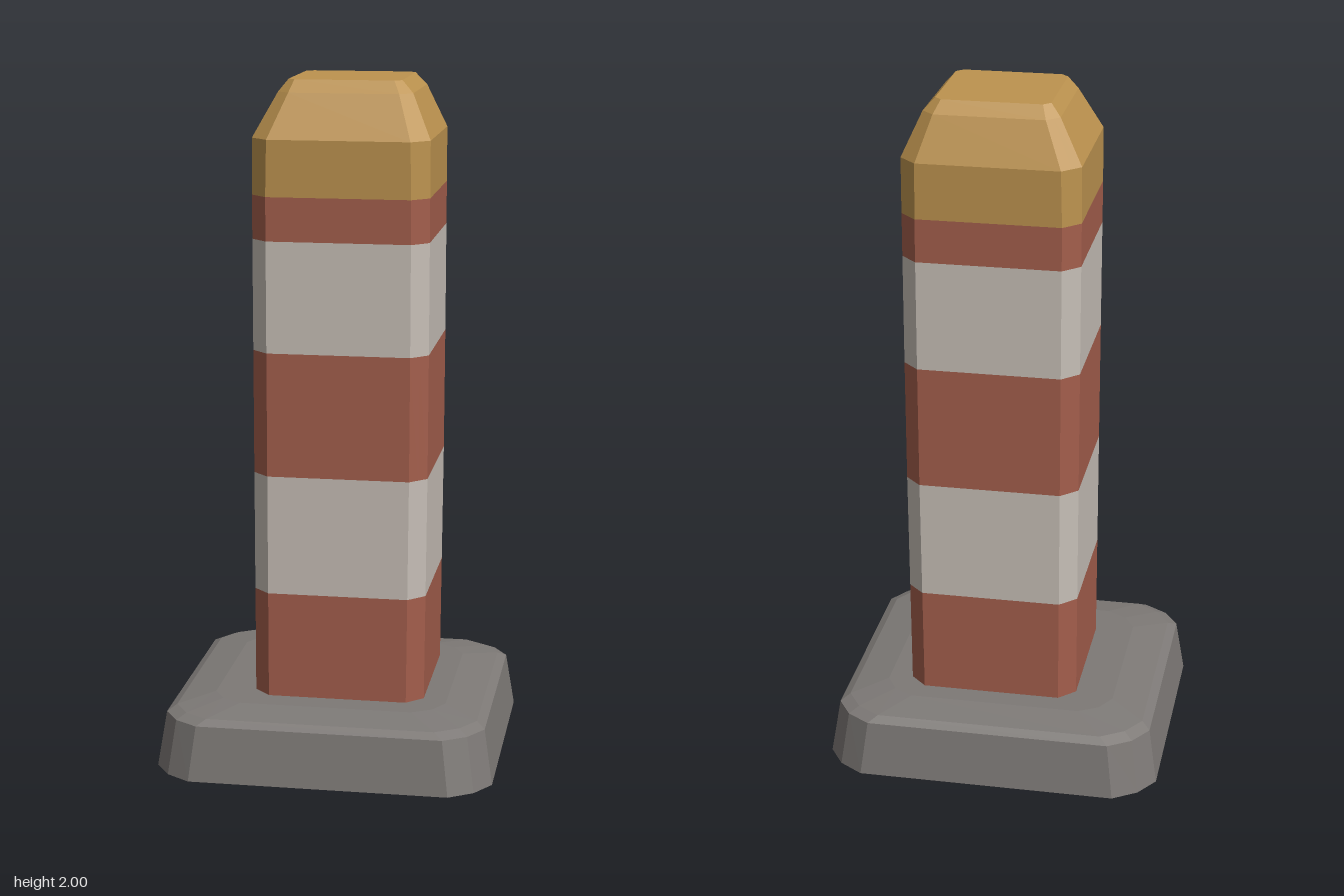
import * as THREE from 'three';

// Rectangle with bevelled corners, listed from +x towards +z; bulge rounds each corner outwards
function ring(y, x0, x1, z0, z1, c, bulge = 0) {
  const b = c / 2 - bulge;
  const pts = [
    [x1, z1 - c], [x1 - b, z1 - b], [x1 - c, z1],
    [x0 + c, z1], [x0 + b, z1 - b], [x0, z1 - c],
    [x0, z0 + c], [x0 + b, z0 + b], [x0 + c, z0],
    [x1 - c, z0], [x1 - b, z0 + b], [x1, z0 + c],
  ];
  return pts.map(([x, z]) => new THREE.Vector3(x, y, z));
}

// Faceted skin through a stack of rings, with optional end caps
function loft(name, rings, material, { top = false, bottom = false } = {}) {
  const v = [];
  const tri = (...ps) => ps.forEach((p) => v.push(p.x, p.y, p.z));
  const n = rings[0].length;
  for (let k = 0; k < rings.length - 1; k++) {
    const lo = rings[k], hi = rings[k + 1];
    for (let i = 0; i < n; i++) {
      const j = (i + 1) % n;
      tri(lo[i], hi[i], hi[j]);
      tri(lo[i], hi[j], lo[j]);
    }
  }
  const cap = (r, up) => {
    const c = r.reduce((s, p) => s.add(p), new THREE.Vector3()).divideScalar(n);
    for (let i = 0; i < n; i++) {
      const j = (i + 1) % n;
      if (up) tri(c, r[j], r[i]);
      else tri(c, r[i], r[j]);
    }
  };
  if (top) cap(rings[rings.length - 1], true);
  if (bottom) cap(rings[0], false);
  const g = new THREE.BufferGeometry();
  g.setAttribute('position', new THREE.Float32BufferAttribute(v, 3));
  g.computeVertexNormals();
  const mesh = new THREE.Mesh(g, material);
  mesh.name = name;
  return mesh;
}

function createModel() {
  const mat = (name, color) => {
    const m = new THREE.MeshStandardMaterial({ color });
    m.name = name;
    return m;
  };
  const red = mat('brickRed', 0xa35e4c);
  const white = mat('warmWhite', 0xc6beb6);
  const yellow = mat('ochre', 0xbd934f);
  const grey = mat('rubberGrey', 0x7d7976);
  const black = mat('undersideBlack', 0x151515);

  const model = new THREE.Group();
  model.name = 'trafficBollard';

  // Weighted foot: flared sides, bevelled rim, gently sloping top
  const foot = (y, hx, hz, c) => ring(y, -hx, hx, -hz, hz, c, 0.012);
  model.add(loft('foot', [
    foot(0.02, 0.49, 0.463, 0.115),
    foot(0.18, 0.465, 0.44, 0.11),
    foot(0.195, 0.44, 0.415, 0.11),
    foot(0.213, 0.34, 0.315, 0.09),
  ], grey, { top: true }));

  // Hollow underside: grey rim and inner wall, black recess and centre pad
  model.add(loft('footRim', [
    foot(0.07, 0.43, 0.405, 0.11),
    foot(0.02, 0.455, 0.43, 0.115),
    foot(0.02, 0.49, 0.463, 0.115),
  ], grey));
  model.add(loft('recess', [
    foot(0.07, 0.34, 0.31, 0.1),
    foot(0.07, 0.43, 0.405, 0.11),
  ], black));
  model.add(loft('centrePad', [
    ring(0, -0.32, 0.34, -0.305, 0.3, 0.1),
    ring(0.07, -0.34, 0.35, -0.315, 0.31, 0.1),
  ], black, { bottom: true }));

  // Square post in alternating bands
  const post = (y) => ring(y, -0.227, 0.27 + 0.008 * Math.min(1, y), -0.25, 0.238, 0.047);
  const levels = [0.2, 0.525, 0.875, 1.235, 1.555, 1.68];
  for (let i = 0; i < levels.length - 1; i++) {
    model.add(loft(i % 2 ? 'whiteBand' : 'redBand',
      [post(levels[i]), post(levels[i + 1])], i % 2 ? white : red));
  }

  // Tapered cap
  model.add(loft('cap', [
    post(1.68),
    ring(1.84, -0.226, 0.278, -0.252, 0.24, 0.05),
    ring(1.965, -0.16, 0.222, -0.2, 0.175, 0.035),
    ring(2, -0.132, 0.19, -0.17, 0.148, 0.02),
  ], yellow, { top: true }));

  return model;
}

export { createModel };
